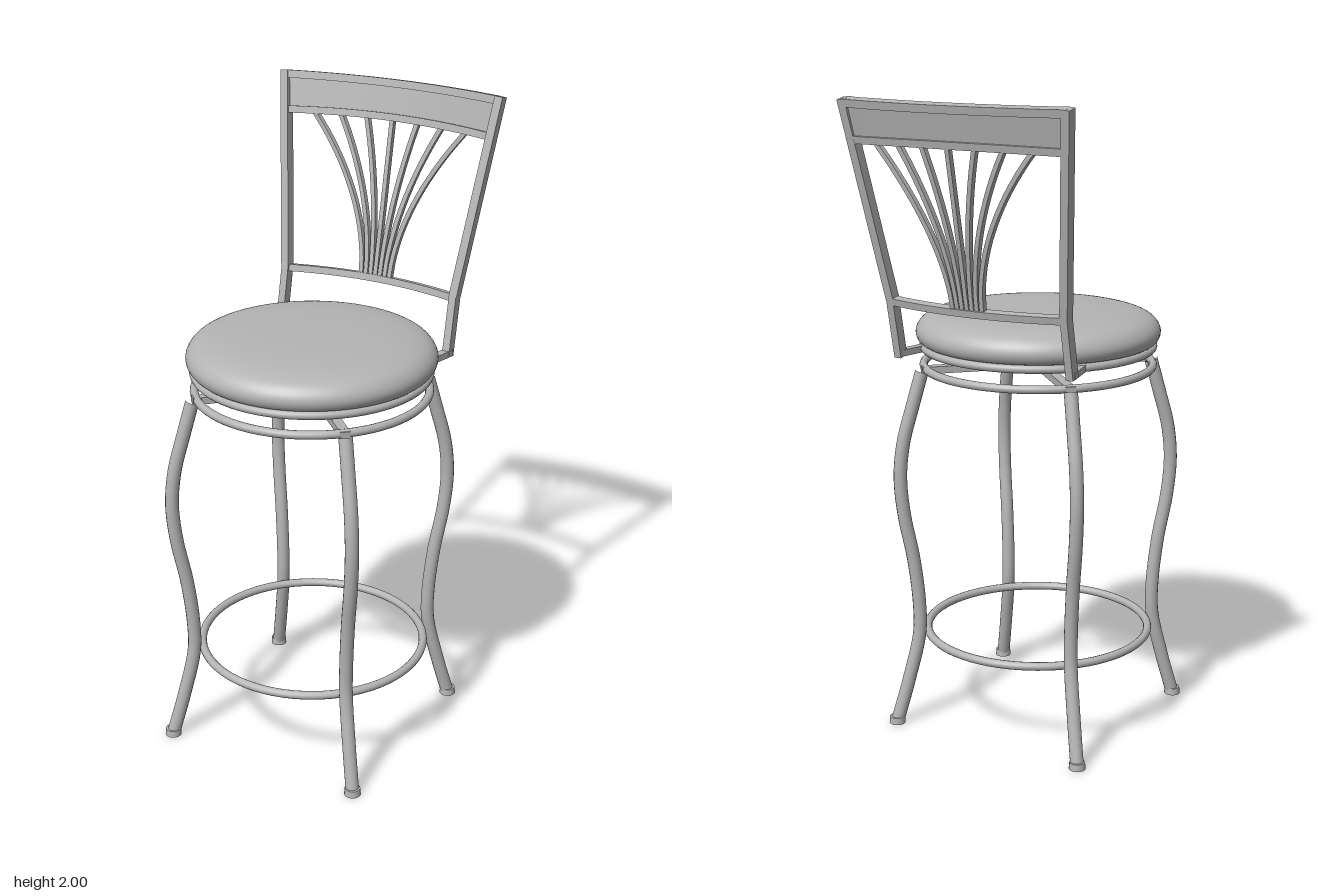
import * as THREE from 'three';

const V = (x, y, z) => new THREE.Vector3(x, y, z);
const SEAT_Z = 0.08;

// Sweeps a rectangle along a curve; 'ref' keeps the section from twisting.
function barGeometry(curve, ref, a, b, steps) {
  const pos = [];
  const rings = [];
  for (let i = 0; i <= steps; i++) {
    const p = curve.getPoint(i / steps);
    const t = curve.getTangent(i / steps);
    const u = ref.clone().addScaledVector(t, -ref.dot(t)).normalize();
    const w = t.clone().cross(u);
    rings.push([[1, 1], [-1, 1], [-1, -1], [1, -1]].map(([s, r]) =>
      p.clone().addScaledVector(u, s * a / 2).addScaledVector(w, r * b / 2)));
  }
  const quad = (p, q, r, s) => [p, q, r, p, r, s].forEach(v => pos.push(v.x, v.y, v.z));
  for (let i = 0; i < steps; i++) {
    for (let k = 0; k < 4; k++) {
      const n = (k + 1) % 4;
      quad(rings[i][k], rings[i][n], rings[i + 1][n], rings[i + 1][k]);
    }
  }
  const e = rings[steps];
  const f = rings[0];
  quad(f[3], f[2], f[1], f[0]);
  quad(e[0], e[1], e[2], e[3]);
  const g = new THREE.BufferGeometry();
  g.setAttribute('position', new THREE.Float32BufferAttribute(pos, 3));
  g.computeVertexNormals();
  return g;
}

// The backrest leans back, widens upwards and bows rearwards in the middle.
const halfWidth = y => 0.298 + 0.072 * Math.max(0, (y - 1.4) / 0.6);
const postZ = y => -0.242 - 0.208 * (y - 1.22);
const backZ = (x, y) => postZ(y) - 0.046 * (1 - (x / halfWidth(y)) ** 2);

export function createModel() {
  const model = new THREE.Group();
  const grey = new THREE.MeshStandardMaterial({ color: 0xb4b4b4 });
  grey.name = 'grey';

  const add = (name, geometry, parent = model) => {
    const mesh = new THREE.Mesh(geometry, grey);
    mesh.name = name;
    parent.add(mesh);
    return mesh;
  };
  const spline = pts => new THREE.CatmullRomCurve3(pts);

  // Everything round is centred on the seat axis
  const base = new THREE.Group();
  base.name = 'swivelBase';
  base.position.z = SEAT_Z;
  model.add(base);

  // Padded round seat
  const edge = new THREE.SplineCurve([
    [0.34, 1.232], [0.368, 1.24], [0.38, 1.265], [0.372, 1.292], [0.345, 1.315],
    [0.29, 1.33], [0.2, 1.338], [0.1, 1.341], [0, 1.342],
  ].map(p => new THREE.Vector2(...p))).getPoints(36);
  edge[edge.length - 1].x = 0;
  add('seatCushion', new THREE.LatheGeometry(edge, 64), base);
  const board = add('seatBoard', new THREE.CylinderGeometry(0.345, 0.345, 0.012, 64), base);
  board.position.y = 1.232;

  // Hoops: under the seat, on top of the legs, and the footrest
  const hoop = (name, y, radius, tube) => {
    const m = add(name, new THREE.TorusGeometry(radius, tube, 12, 72), base);
    m.rotation.x = Math.PI / 2;
    m.position.y = y;
  };
  hoop('seatHoop', 1.223, 0.357, 0.013);
  hoop('legHoop', 1.162, 0.357, 0.013);
  hoop('footrestHoop', 0.292, 0.355, 0.013);

  // Swivel
  const disc = (name, r, h, y) => {
    add(name, new THREE.CylinderGeometry(r, r, h, 24), base).position.y = y;
  };
  disc('swivelShaft', 0.034, 0.06, 1.193);
  const plate = (name, y) => {
    add(name, new THREE.BoxGeometry(0.2, 0.01, 0.2), base).position.y = y;
  };
  plate('upperSwivelPlate', 1.217);
  plate('lowerSwivelPlate', 1.176);

  // Four curved legs on the diagonals, each with a foot cap and a support arm
  for (let i = 0; i < 4; i++) {
    const leg = new THREE.Group();
    leg.name = 'leg' + (i + 1);
    leg.rotation.y = Math.PI / 4 + i * Math.PI / 2;
    base.add(leg);
    const path = spline([
      [0.465, 0.01], [0.425, 0.15], [0.39, 0.3], [0.389, 0.4], [0.405, 0.55],
      [0.433, 0.7], [0.443, 0.82], [0.432, 0.93], [0.4, 1.05], [0.37, 1.155],
    ].map(([r, y]) => V(r, y, 0)));
    add('legTube', new THREE.TubeGeometry(path, 48, 0.021, 14), leg);
    const cap = add('footCap', new THREE.CylinderGeometry(0.024, 0.026, 0.022, 16), leg);
    cap.position.set(0.467, 0.011, 0);
    const arm = add('supportArm', new THREE.BoxGeometry(0.37, 0.022, 0.03), leg);
    arm.position.set(0.185, 1.16, 0);
  }

  // Backrest
  const back = new THREE.Group();
  back.name = 'backrest';
  model.add(back);

  // Posts with brackets running forward beneath the seat
  const ahead = V(0, 0, 1);
  for (const s of [-1, 1]) {
    const at = y => V(s * halfWidth(y), y, postZ(y));
    add('lowerPost', barGeometry(new THREE.LineCurve3(at(1.212), at(1.4)), ahead, 0.034, 0.024, 1), back);
    add('upperPost', barGeometry(new THREE.LineCurve3(at(1.395), at(1.995)), ahead, 0.034, 0.026, 1), back);
    const bracket = new THREE.LineCurve3(V(s * 0.3, 1.222, -0.25), V(s * 0.265, 1.222, -0.09));
    add('postBracket', barGeometry(bracket, V(0, 1, 0), 0.02, 0.026, 1), back);
  }

  // Bowed rails and crest panel
  const up = V(0, 1, -0.208).normalize();
  const rail = (name, y, height, depth, arch = 0) => {
    const pts = [];
    for (let k = -6; k <= 6; k++) {
      const x = halfWidth(y) * k / 6;
      pts.push(V(x, y + arch * (1 - (k / 6) ** 2), backZ(x, y)));
    }
    add(name, barGeometry(spline(pts), up, height, depth, 24), back);
  };
  rail('lowerRail', 1.39, 0.022, 0.026);
  rail('crestBottomRail', 1.877, 0.022, 0.026, 0.006);
  rail('crestPanel', 1.932, 0.1, 0.01);
  rail('crestTopRail', 1.984, 0.024, 0.03);

  // Seven slats fanning out like a sheaf
  for (let k = -3; k <= 3; k++) {
    const pts = [];
    for (let j = 0; j <= 8; j++) {
      const t = j / 8;
      const y = 1.392 + 0.486 * t;
      const low = 0.0165 * k;
      const top = 0.088 * k;
      const x = low + (top - low) * t ** 1.9;
      pts.push(V(x, y, backZ(x, y)));
    }
    add('slat' + (k + 4), barGeometry(spline(pts), ahead, 0.018, 0.014, 20), back);
  }
  return model;
}
